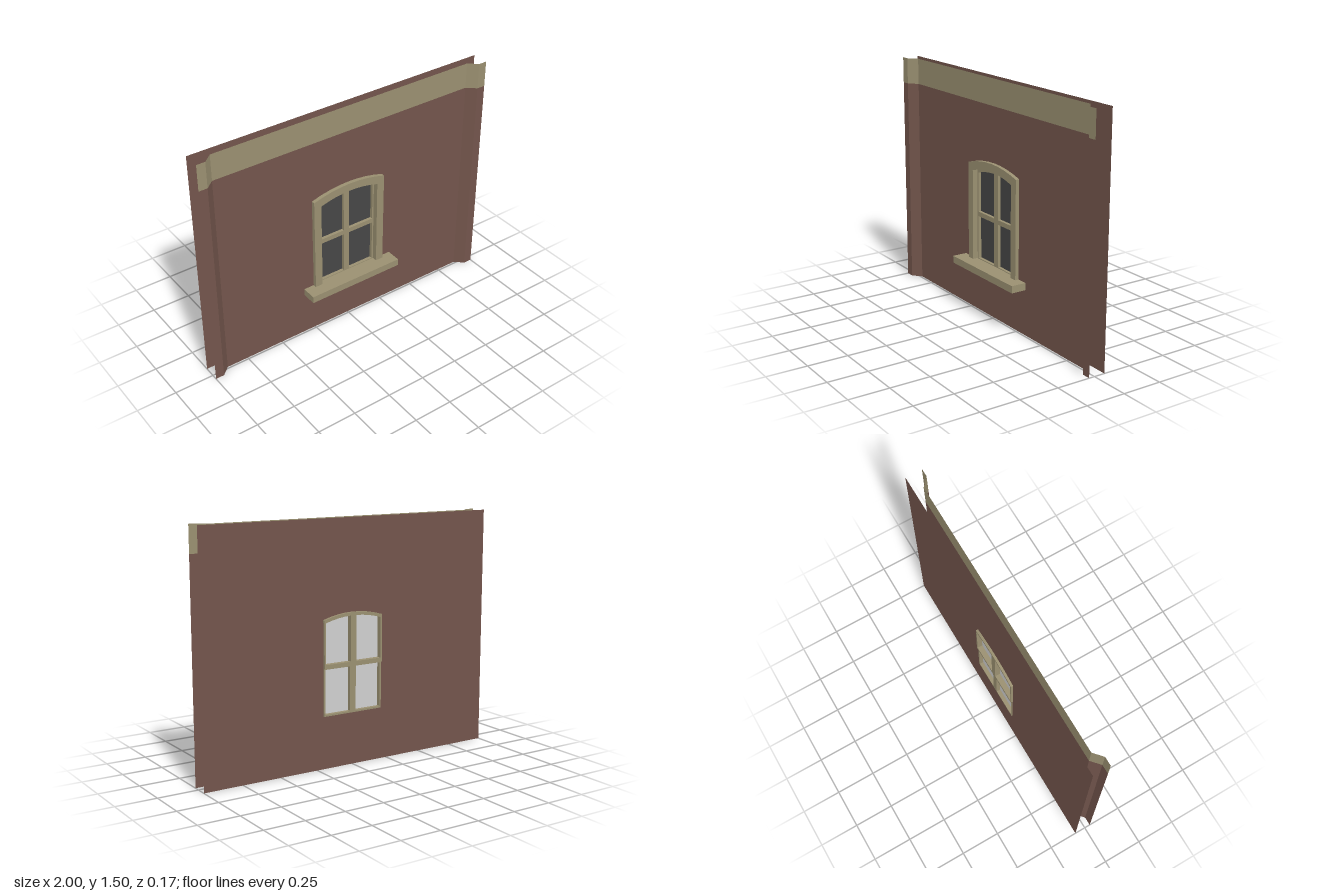
import * as THREE from 'three';

const brick = new THREE.MeshStandardMaterial({ color: 0x73554c, side: THREE.DoubleSide });
brick.name = 'brick brown';
const stone = new THREE.MeshStandardMaterial({ color: 0x9a9071, side: THREE.DoubleSide });
stone.name = 'olive stone';
const glass = new THREE.MeshStandardMaterial({ color: 0x464646 });
glass.name = 'dark glass';
const blind = new THREE.MeshStandardMaterial({ color: 0xd0d0d0 });
blind.name = 'pale inner glass';

// Outline from x0 to x1 whose top runs along a shallow arch given by top(x)
function archPoints(x0, x1, bottom, top, steps = 8) {
  const pts = [new THREE.Vector2(x0, bottom), new THREE.Vector2(x1, bottom)];
  for (let i = 0; i <= steps; i++) {
    const x = x1 + ((x0 - x1) * i) / steps;
    pts.push(new THREE.Vector2(x, top(x)));
  }
  return pts;
}
const arch = (half, side, mid) => (x) => mid - (mid - side) * (x / half) ** 2;
const flat = (y) => () => y;
const rect = (x0, x1, y0, y1) => archPoints(x0, x1, y0, flat(y1), 1);

const trimTop = arch(0.255, 0.95, 0.99);
const frameTop = arch(0.205, 0.908, 0.94);
const paneTop = arch(0.195, 0.89, 0.92);

function shapeOf(points, holes = []) {
  const s = new THREE.Shape(points);
  holes.forEach((h) => s.holes.push(new THREE.Path(h)));
  return s;
}

export function createModel() {
  const model = new THREE.Group();
  const add = (name, geometry, material, parent = model) => {
    const m = new THREE.Mesh(geometry, material);
    m.name = name;
    parent.add(m);
    return m;
  };
  const sheet = (name, shape, z, material, parent) => {
    const m = add(name, new THREE.ShapeGeometry(shape), material, parent);
    m.position.z = z;
    return m;
  };
  const slab = (name, shape, z0, z1, material, parent) => {
    const g = new THREE.ExtrudeGeometry(shape, { depth: z1 - z0, bevelEnabled: false });
    add(name, g, material, parent).position.z = z0;
  };

  // Outer and inner wall sheets, both open around the window
  const opening = archPoints(-0.205, 0.205, 0.325, frameTop);
  const H = 1.5, band = 1.335, zWall = -0.012, zEdge = 0.037;
  sheet('frontWall', shapeOf(rect(-0.89, 0.89, 0, band), [opening]), zWall, brick);
  sheet('frontBand', shapeOf(rect(-0.89, 0.89, band, H)), zWall, stone);
  sheet('backWall', shapeOf(rect(-1, 1, 0, H), [opening]), -0.07, brick);

  // Raised edge strips with a slanted return to the wall
  for (const s of [-1, 1]) {
    const profile = [[0.89, zWall], [0.945, zEdge], [1, zEdge]];
    for (const [part, y0, y1, mat] of [['edgeStrip', 0, band, brick], ['edgeBand', band, H, stone]]) {
      for (let i = 0; i < 2; i++) {
        let a = profile[i], b = profile[i + 1];
        if (s < 0) [a, b] = [b, a];
        const g = new THREE.PlaneGeometry(1, y1 - y0);
        const p = g.attributes.position;
        for (let k = 0; k < p.count; k++) {
          const e = p.getX(k) < 0 ? a : b;
          p.setXYZ(k, s * e[0], p.getY(k) + (y0 + y1) / 2, e[1]);
        }
        g.computeVertexNormals();
        add(part + (i ? 'Face' : 'Slope'), g, mat);
      }
    }
  }

  // Window
  const win = new THREE.Group();
  win.name = 'window';
  model.add(win);

  // Arched surround, open at the bottom
  const outer = archPoints(-0.255, 0.255, 0.33, trimTop).slice(1);
  const inner = archPoints(-0.205, 0.205, 0.33, frameTop).slice(1);
  const surround = [
    ...outer, new THREE.Vector2(-0.255, 0.33),
    new THREE.Vector2(-0.205, 0.33), ...inner.reverse(),
  ];
  slab('surround', shapeOf(surround), -0.022, 0.012, stone, win);

  // Sill
  const sill = add('sill', new THREE.BoxGeometry(0.65, 0.045, 0.105), stone, win);
  sill.position.set(0, 0.31, 0.0325);

  // Two sashes, each with a pair of panes
  const upper = [], lower = [];
  for (const s of [-1, 1]) {
    const [x0, x1] = s < 0 ? [-0.195, -0.02] : [0.02, 0.195];
    upper.push(archPoints(x0, x1, 0.64, paneTop, 4));
    lower.push(rect(x0, x1, 0.336, 0.61));
  }
  slab('upperSash', shapeOf(archPoints(-0.205, 0.205, 0.616, frameTop), upper), -0.022, -0.085, stone, win);
  slab('lowerSash', shapeOf(rect(-0.205, 0.205, 0.325, 0.616), lower), -0.022, -0.077, stone, win);
  for (const pane of [...upper, ...lower]) {
    sheet('pane', shapeOf(pane), -0.042, glass, win);
    // Same outline turned to face the back
    const back = new THREE.ShapeGeometry(shapeOf(pane.map((p) => new THREE.Vector2(-p.x, p.y)).reverse()));
    const m = add('innerPane', back, blind, win);
    m.rotation.y = Math.PI;
    m.position.z = -0.052;
  }
  return model;
}
